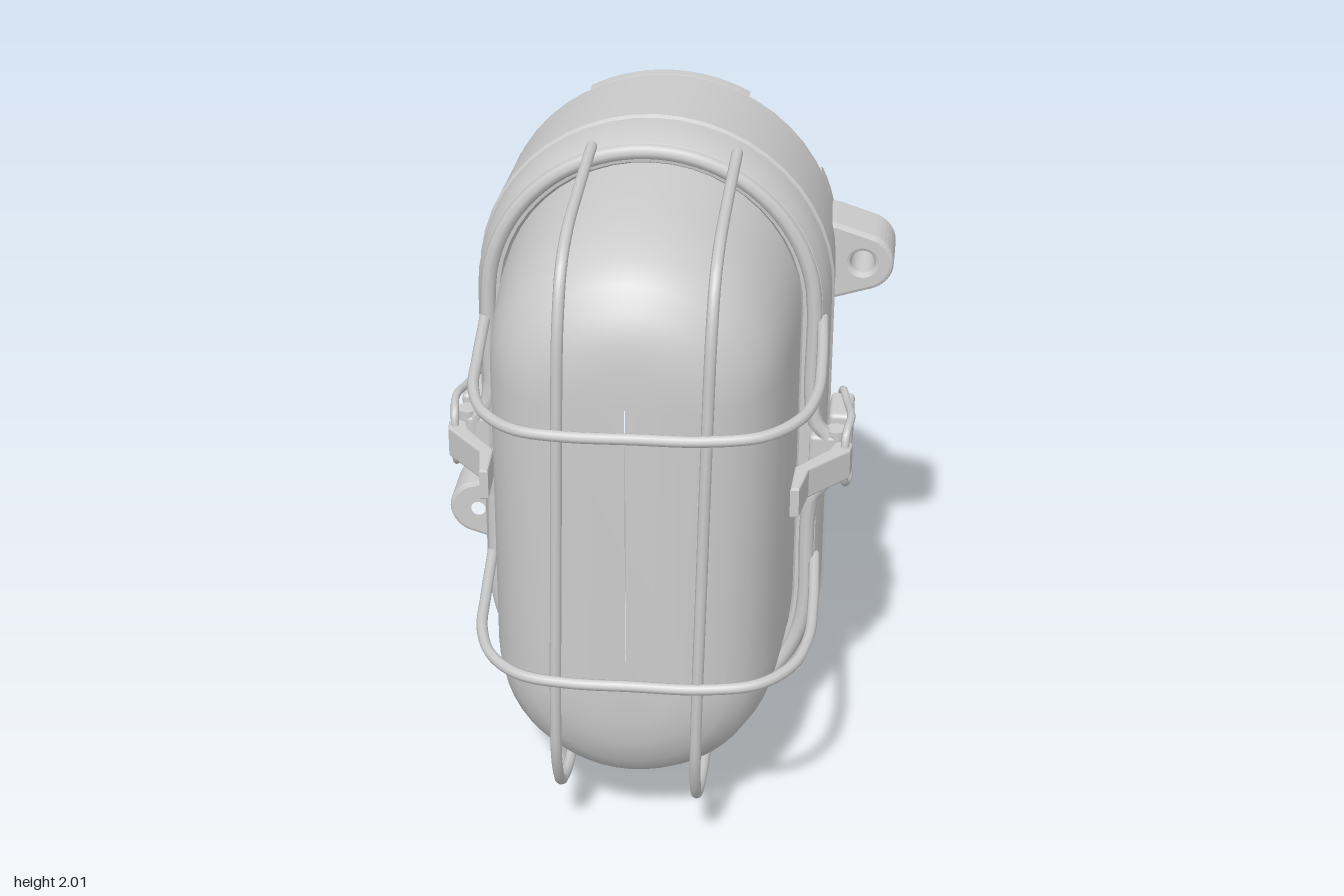
import * as THREE from 'three';
import { toCreasedNormals } from 'three/addons/utils/BufferGeometryUtils.js';
import { RoundedBoxGeometry } from 'three/addons/geometries/RoundedBoxGeometry.js';

const CY = 1.032; // height of the lamp's centre
const material = new THREE.MeshStandardMaterial({ color: 0xcccccc });

function add(group, name, geometry, x = 0, y = 0, z = 0) {
  const mesh = new THREE.Mesh(geometry, material);
  mesh.name = name;
  mesh.position.set(x, y, z);
  group.add(mesh);
  return mesh;
}

// Counter-clockwise stadium outline with half width hw and half height hh
function stadium(hw, hh, n = 24) {
  const pts = [];
  for (let cap = 0; cap < 2; cap++) {
    const cy = (hh - hw) * (cap ? -1 : 1);
    for (let i = 0; i <= n; i++) {
      const a = Math.PI * (cap + i / n);
      pts.push([hw * Math.cos(a), CY + cy + hw * Math.sin(a)]);
    }
  }
  return pts;
}

// Skin stadium rings [halfWidth, halfHeight, z], listed back to front
function loft(rings) {
  const pos = [], idx = [];
  let n = 0;
  rings.forEach(([hw, hh, z], r) => {
    const ring = stadium(hw, hh);
    n = ring.length;
    ring.forEach(([x, y]) => pos.push(x, y, z));
    if (r === 0) return;
    for (let j = 0; j < n; j++) {
      const a = (r - 1) * n + j, b = (r - 1) * n + (j + 1) % n;
      idx.push(a, b, b + n, a, b + n, a + n);
    }
  });
  const g = new THREE.BufferGeometry();
  g.setAttribute('position', new THREE.Float32BufferAttribute(pos, 3));
  g.setIndex(idx);
  return toCreasedNormals(g, 0.6);
}

function wire(points, radius = 0.016, closed = false, segments = 90) {
  const curve = new THREE.CatmullRomCurve3(points.map(p => new THREE.Vector3(...p)), closed, 'centripetal');
  return new THREE.TubeGeometry(curve, segments, radius, 8, closed);
}

function extrude(shape, depth, bevel) {
  return new THREE.ExtrudeGeometry(shape, {
    depth: depth - 2 * bevel, bevelEnabled: bevel > 0, bevelSize: bevel, bevelThickness: bevel,
    bevelOffset: -bevel, bevelSegments: 2, curveSegments: 16,
  }).translate(0, 0, bevel);
}

// Raised pad on the back edge, between distances s0 and s1 from the top centre
function backPad(s0, s1, side) {
  const R = 0.495, L = 0.467, quarter = R * Math.PI / 2;
  const at = (s, inset) => {
    const m = Math.abs(s);
    const past = Math.max(0, m - quarter - 2 * L);
    const a = m < quarter ? m / R : Math.PI / 2 + past / R;
    const cy = L - Math.min(2 * L, Math.max(0, m - quarter));
    return new THREE.Vector2(Math.sign(s) * side * (R - inset) * Math.sin(a), CY + cy + (R - inset) * Math.cos(a));
  };
  const outer = [], inner = [], n = 14;
  for (let i = 0; i <= n; i++) {
    const s = s0 + (s1 - s0) * i / n;
    outer.push(at(s, 0));
    inner.unshift(at(s, 0.045));
  }
  return extrude(new THREE.Shape([...outer, ...inner]), 0.05, 0.008).translate(0, 0, -0.615);
}

// Rounded wall-mounting ear with a screw hole
function ear(side, y) {
  const x = side * 0.58, r = 0.09;
  const shape = new THREE.Shape();
  shape.moveTo(side * 0.42, y - 0.13);
  shape.lineTo(side * 0.5, y - 0.12);
  for (let i = 0; i <= 16; i++) {
    const a = -1.35 + 2.7 * i / 16;
    shape.lineTo(x + side * r * Math.cos(a), y + r * Math.sin(a));
  }
  shape.lineTo(side * 0.5, y + 0.12);
  shape.lineTo(side * 0.42, y + 0.13);
  const hole = new THREE.Path();
  hole.absarc(x, y, 0.035, 0, Math.PI * 2, true);
  shape.holes.push(hole);
  return extrude(shape, 0.175, 0.012).translate(0, 0, -0.61);
}

function latch(side) {
  const g = new THREE.Group();
  g.name = side > 0 ? 'leftLatch' : 'rightLatch';
  add(g, 'catchBlock', new RoundedBoxGeometry(0.07, 0.13, 0.15, 3, 0.015), side * 0.542, 1.035, -0.297);
  // Bent lever, drawn in plan and extruded upwards
  const plan = [[0.55, -0.1], [0.585, -0.06], [0.58, -0.02], [0.47, 0.1], [0.45, 0.215],
    [0.425, 0.215], [0.43, 0.09], [0.52, -0.02]];
  const shape = new THREE.Shape(plan.map(([x, z]) => new THREE.Vector2(side * x, z)));
  add(g, 'lever', extrude(shape, 0.095, 0.006).rotateX(Math.PI / 2), 0, 1.1, 0);
  // Pivot and its bracket on the rim
  add(g, 'pivot', new THREE.CylinderGeometry(0.03, 0.03, 0.16, 14), side * 0.535, 1.05, -0.09);
  add(g, 'bracket', new RoundedBoxGeometry(0.08, 0.13, 0.06, 2, 0.012), side * 0.5, 1.05, -0.09);
  // Wire bail hooked round the catch
  const bail = [[0.565, 1.13, -0.05], [0.575, 1.145, -0.13], [0.56, 1.125, -0.25], [0.54, 1.11, -0.36],
    [0.54, 0.97, -0.365], [0.56, 0.955, -0.25], [0.575, 0.95, -0.13], [0.565, 0.98, -0.05]];
  add(g, 'bail', wire(bail.map(([x, y, z]) => [side * x, y, z]), 0.012, true, 60));
  return g;
}

export function createModel() {
  const model = new THREE.Group();
  model.name = 'bulkheadLamp';

  // Housing with a shallow seam and a rolled front lip
  const L = 0.467;
  const housing = [[0.001, -0.58], [0.475, -0.58], [0.495, -0.57], [0.503, -0.4], [0.51, -0.235],
    [0.503, -0.225], [0.503, -0.2], [0.498, -0.13], [0.485, -0.095], [0.46, -0.085], [0.43, -0.09], [0.41, -0.13]];
  add(model, 'housing', loft(housing.map(([r, z]) => [r, r + L, z])));

  // Domed glass cover
  add(model, 'glassCover', loft([
    [0.425, 0.885, -0.14], [0.422, 0.88, 0], [0.412, 0.868, 0.15], [0.398, 0.852, 0.27], [0.372, 0.82, 0.36],
    [0.33, 0.775, 0.425], [0.275, 0.715, 0.47], [0.2, 0.635, 0.498], [0.12, 0.56, 0.508], [0.001, 0.45, 0.512],
  ]));

  // Wire ring round the front lip, bowed outwards at the latches
  const ring = stadium(0.462, 0.462 + L, 14).map(([x, y]) => [x, y, -0.085]);
  const bow = s => [[s * 0.462, CY + s * 0.2, -0.085], [s * 0.475, CY + s * 0.12, -0.08], [s * 0.51, CY + s * 0.07, -0.08],
    [s * 0.51, CY - s * 0.07, -0.08], [s * 0.475, CY - s * 0.12, -0.08], [s * 0.462, CY - s * 0.2, -0.085]];
  ring.splice(15, 0, ...bow(-1));
  ring.push(...bow(1).reverse());
  add(model, 'guardRing', wire(ring, 0.022, true, 160));

  // Guard wires: two upright and two across, slightly askew
  const upright = [[1.96, -0.11], [1.945, 0.2], [1.925, 0.38], [1.87, 0.49], [1.74, 0.55], [1.5, 0.57], [1.03, 0.57],
    [0.55, 0.57], [0.36, 0.545], [0.23, 0.47], [0.17, 0.36], [0.155, 0.2], [0.125, -0.11]];
  for (const [name, top, bottom, dz] of [['rightUprightWire', -0.165, -0.2, -0.012], ['leftUprightWire', 0.235, 0.195, 0.008]]) {
    add(model, name, wire(upright.map(([y, z]) =>
      [bottom + (top - bottom) * (y - 0.13) / 1.83, y, z < 0 ? z : z + dz])));
  }
  const across = [[-0.475, -0.11], [-0.455, 0.15], [-0.435, 0.33], [-0.385, 0.46], [-0.29, 0.55], [-0.16, 0.582],
    [0.03, 0.59], [0.22, 0.594], [0.37, 0.56], [0.46, 0.46], [0.495, 0.32], [0.497, 0.15], [0.485, -0.11]];
  for (const [name, y] of [['upperCrossWire', 1.44], ['lowerCrossWire', 0.66]]) {
    add(model, name, wire(across.map(([x, z]) => [x, y + 0.04 * x + (z < 0 ? 0.01 : 0), z])));
  }

  // Latches on both sides
  model.add(latch(1), latch(-1));

  // Mounting ears and cable entry block
  add(model, 'leftEar', ear(1, 1.49));
  add(model, 'rightEar', ear(-1, 0.58));
  add(model, 'cableEntry', new RoundedBoxGeometry(0.32, 0.2, 0.39, 3, 0.02), 0.01, 0.1, -0.418);

  // Raised pads round the back edge
  add(model, 'topBackPad', backPad(-0.24, 0.24, 1));
  add(model, 'bottomBackPad', backPad(2.2, 2.49, 1));
  add(model, 'bottomBackPad', backPad(2.2, 2.49, -1));
  for (const side of [1, -1]) {
    for (const [a, b] of [[0.555, 1.07], [1.23, 1.37], [1.54, 1.92]]) add(model, 'sideBackPad', backPad(a, b, side));
  }

  // Small rib in the middle of the back
  const rib = add(model, 'backRib', new THREE.CapsuleGeometry(0.028, 0.12, 6, 12), 0, CY, -0.58);
  rib.rotation.z = Math.PI / 2;

  return model;
}
